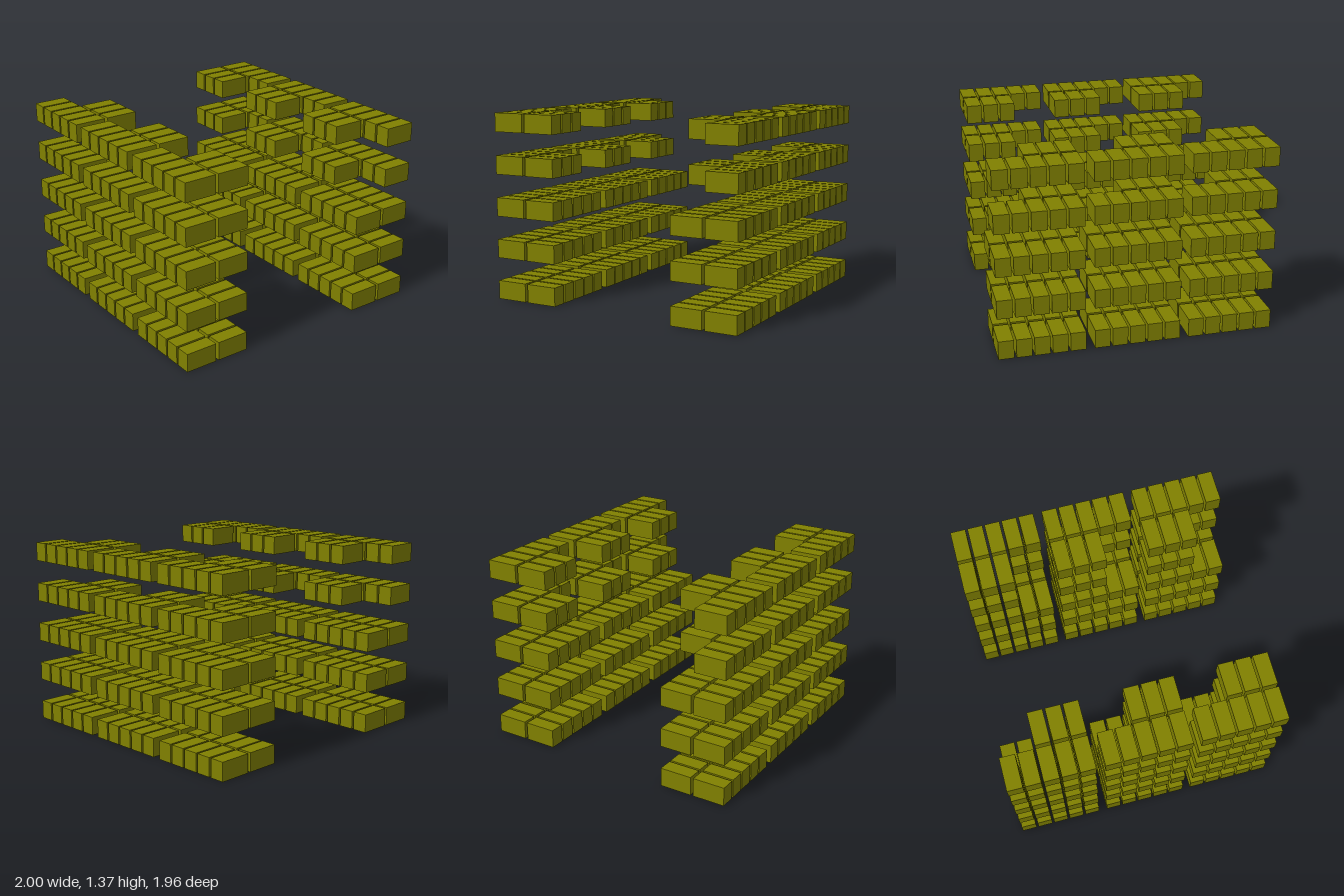
import * as THREE from 'three';

const BOX = { w: 0.11, h: 0.137, d: 0.238 };
const LAYERS = 5, GROUPS = 3, PER_GROUP = 5;
const LAYER_PITCH = 0.308, GROUP_PITCH = 0.6775, BOX_PITCH = 0.126;
const FULL_LAYERS = 3; // layers whose inner row is complete

export function createModel() {
  const model = new THREE.Group();
  model.name = 'stackedBoxes';
  const geometry = new THREE.BoxGeometry(BOX.w, BOX.h, BOX.d);
  const material = new THREE.MeshStandardMaterial({ color: 0x808000, flatShading: true });

  // One bank: layers of box groups, each with an outer and an inner row
  function makeBank(name) {
    const bank = new THREE.Group();
    bank.name = name;
    for (let layer = 0; layer < LAYERS; layer++) {
      const shelf = new THREE.Group();
      shelf.name = 'layer' + (layer + 1);
      shelf.position.y = layer * LAYER_PITCH + BOX.h / 2;
      for (let g = 0; g < GROUPS; g++) {
        for (let i = 0; i < PER_GROUP; i++) {
          const x = -1 + BOX.w / 2 + g * GROUP_PITCH + i * BOX_PITCH;
          for (const row of ['outer', 'inner']) {
            // The upper layers lack the first two inner boxes of each group
            if (row === 'inner' && layer >= FULL_LAYERS && i < 2) continue;
            const box = new THREE.Mesh(geometry, material);
            box.name = row + 'Box';
            box.position.set(x, 0, row === 'outer' ? 0.862 : 0.602);
            shelf.add(box);
          }
        }
      }
      bank.add(shelf);
    }
    return bank;
  }

  // The back bank is the front bank turned half around
  const backBank = makeBank('backBank');
  backBank.rotation.y = Math.PI;
  model.add(makeBank('frontBank'), backBank);
  return model;
}
